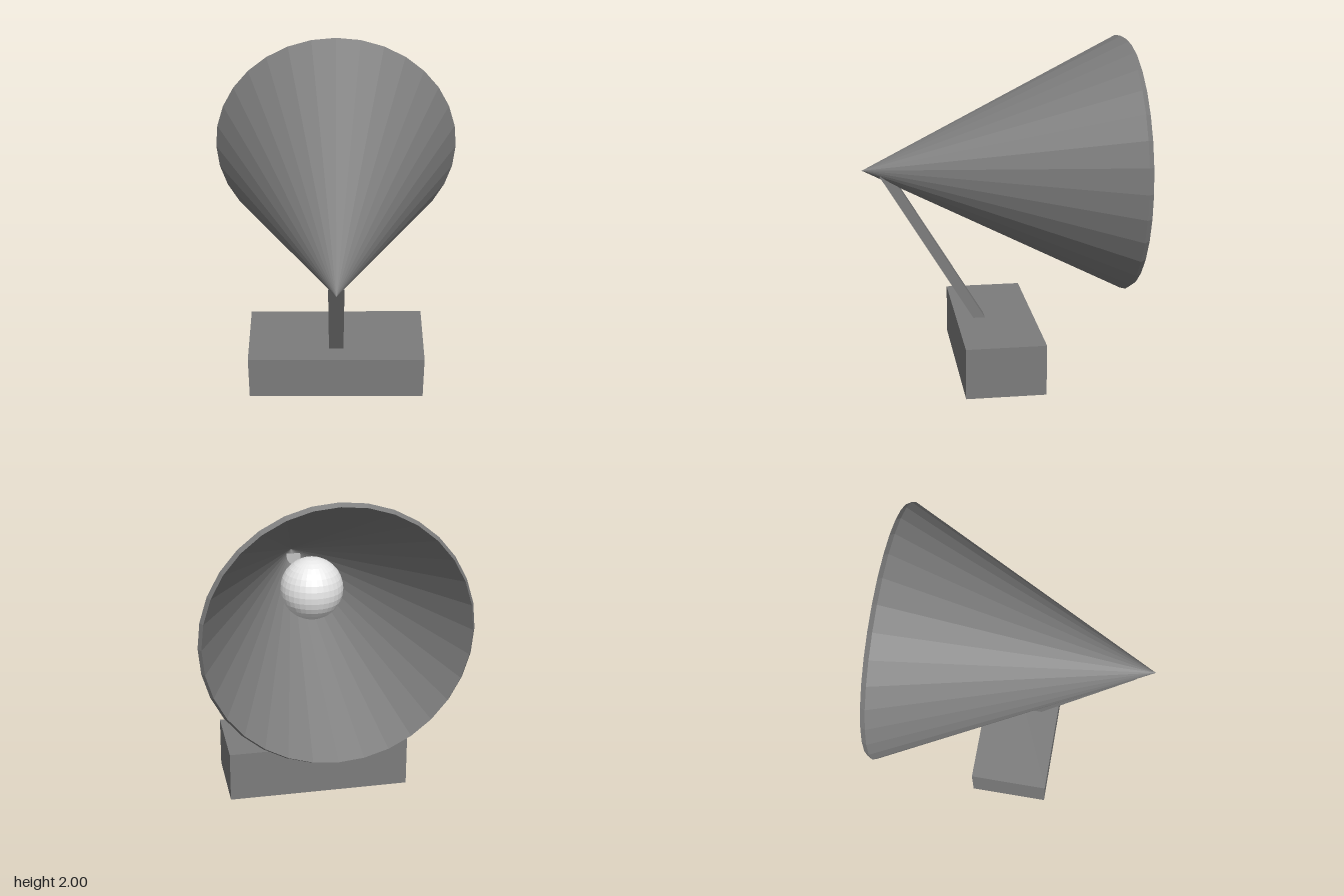
import * as THREE from 'three';

export function createModel() {
  const group = new THREE.Group();
  const grey = new THREE.MeshStandardMaterial({ color: 0x7c7c7c });
  grey.name = 'grey';
  grey.flatShading = true;
  const white = new THREE.MeshStandardMaterial({ color: 0xe7e7e7 });
  white.name = 'white';
  white.flatShading = true;

  const add = (name, geometry, material, x, y, z) => {
    const mesh = new THREE.Mesh(geometry, material);
    mesh.name = name;
    mesh.position.set(x, y, z);
    group.add(mesh);
    return mesh;
  };

  // Block base
  add('base', new THREE.BoxGeometry(1.09, 0.305, 0.47), grey, 0, 0.1525, 0);

  // Slanted arm, from inside the base to just inside the shade's tip
  const low = new THREE.Vector3(0, 0.2, 0.032);
  const high = new THREE.Vector3(0, 1.225, 0.653);
  const dir = high.clone().sub(low);
  const mid = low.clone().add(high).multiplyScalar(0.5);
  const arm = add('arm', new THREE.BoxGeometry(0.09, dir.length(), 0.06), grey, mid.x, mid.y, mid.z);
  arm.rotation.x = Math.atan2(dir.z, dir.y);

  // Hollow cone shade: inner wall, rim, outer wall
  const profile = [[0, 0.714], [0.743, -0.78], [0.76, -0.75], [0, 0.78]]
    .map(([r, h]) => new THREE.Vector2(r, h));
  const shade = add('shade', new THREE.LatheGeometry(profile, 32), grey, 0, 1.24, 0);
  shade.rotation.x = Math.PI / 2;

  // Bulb inside the shade
  add('bulb', new THREE.SphereGeometry(0.187, 32, 16), white, 0, 1.24, 0.01);

  return group;
}
